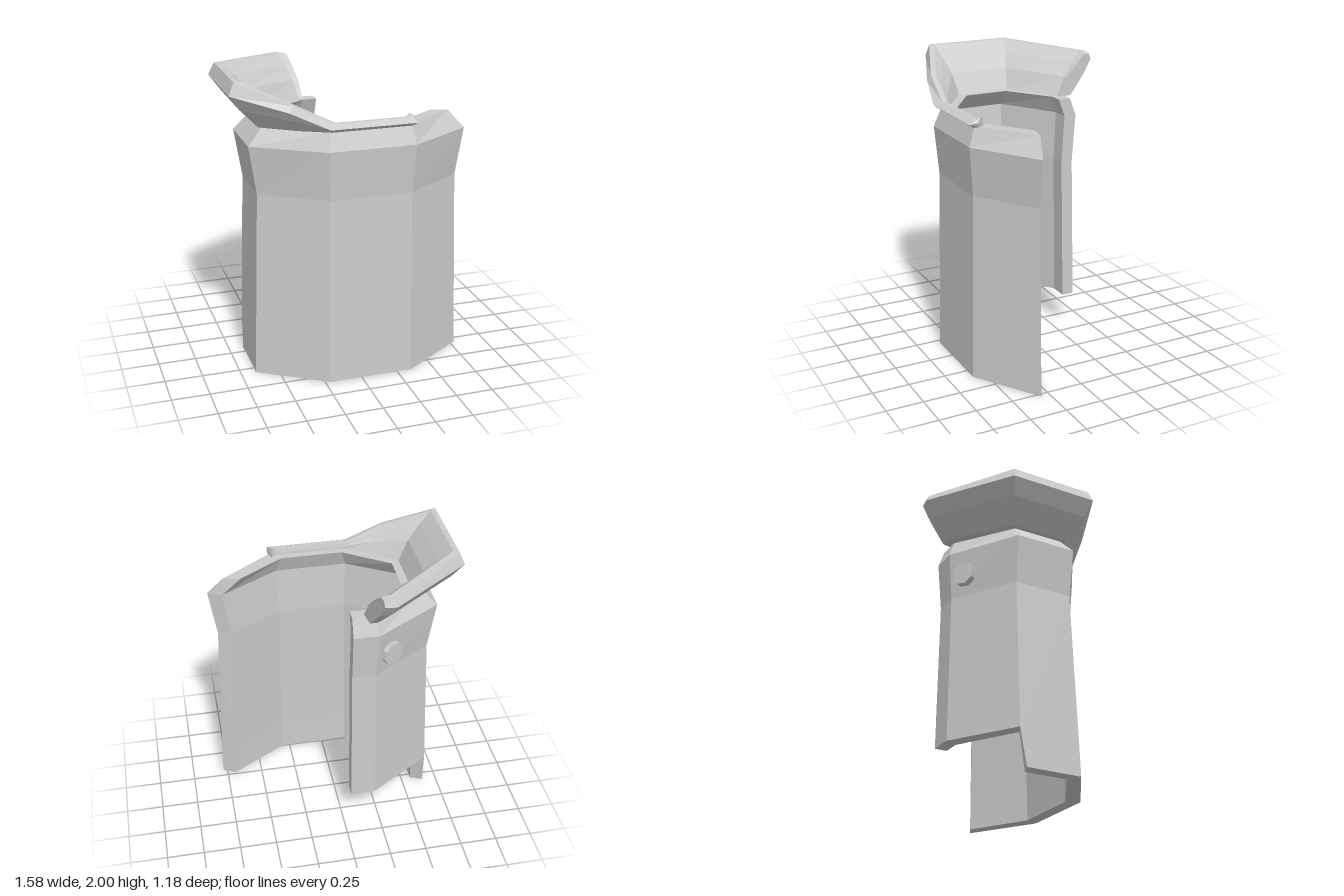
import * as THREE from 'three';

const material = new THREE.MeshStandardMaterial({ color: 0xcccccc, flatShading: true });

// Joins closed cross-sections (outer side going up, inner side going down) and caps both ends.
function loft(name, sections) {
  const pos = [];
  const n = sections[0].length;
  const quad = (a, b, c, d) => pos.push(...a, ...b, ...c, ...a, ...c, ...d);
  for (let i = 0; i < sections.length - 1; i++) {
    const s = sections[i], t = sections[i + 1];
    for (let j = 0; j < n; j++) {
      const k = (j + 1) % n;
      quad(s[j], t[j], t[k], s[k]);
    }
  }
  const s = sections[0], e = sections[sections.length - 1];
  for (let j = 0; j < n / 2 - 1; j++) {
    quad(s[j], s[j + 1], s[n - 2 - j], s[n - 1 - j]);
    quad(e[n - 1 - j], e[n - 2 - j], e[j + 1], e[j]);
  }
  const g = new THREE.BufferGeometry();
  g.setAttribute('position', new THREE.Float32BufferAttribute(pos, 3));
  g.computeVertexNormals();
  const mesh = new THREE.Mesh(g, material);
  mesh.name = name;
  return mesh;
}

// Open eight-sided plan at one height, from the back end round the right side to the front flap.
function ring(y, hx, hz, cx, dz) {
  return [
    [-0.115, -hz], [-cx, -hz], [-hx, -dz], [-hx, dz], [-cx, hz], [cx, hz], [hx, dz],
  ].map(([x, z]) => [x + 0.065, y, z + 0.1]);
}

const lerp = THREE.MathUtils.lerp;

// Collar section from inner foot, inner top, top edge, outer edge and outer foot.
function collarSection([ax, az, cx, cz, dx, dz, ex, ez, fx, fz, top, edge]) {
  const foot = 1.685;
  const between = (x0, z0, x1, z1, t, h, yTop) =>
    [lerp(x0, x1, t), lerp(foot, yTop, h), lerp(z0, z1, t)];
  return [
    [fx, foot, fz],
    between(fx, fz, ex, ez, 0.65, 0.58, edge),
    [ex, edge, ez],
    [dx, top, dz],
    [cx, top, cz],
    between(ax, az, cx, cz, 0.65, 0.75, top),
    between(ax, az, cx, cz, 0.3, 0.45, top),
    [ax, foot, az],
  ];
}

export function createModel() {
  const model = new THREE.Group();
  model.name = 'wraparoundShell';

  // Wall: waisted body with a bevelled rim
  const rings = [
    ring(0, 0.715, 0.49, 0.28, 0.21),
    ring(0.25, 0.708, 0.483, 0.278, 0.208),
    ring(1.25, 0.675, 0.46, 0.27, 0.2),
    ring(1.57, 0.725, 0.485, 0.285, 0.21),
    ring(1.69, 0.62, 0.44, 0.26, 0.175),
    ring(1.69, 0.505, 0.355, 0.205, 0.15),
    ring(1.57, 0.63, 0.4, 0.24, 0.165),
    ring(1.25, 0.59, 0.38, 0.23, 0.165),
    ring(0.25, 0.625, 0.4, 0.24, 0.165),
    ring(0, 0.63, 0.4, 0.24, 0.165),
  ];
  const stations = rings[0].map((_, i) => rings.map((r) => r[i].slice()));

  // Back panel stops above the base
  model.add(loft('backWall', stations.slice(0, 3).map((s) => s.slice(1, -1))));

  // Main wall, its lower back edge slanting forward
  const main = stations.slice(2);
  main[0][0][2] += 0.04;
  main[0][9][2] += 0.03;
  model.add(loft('mainWall', main));

  // Flared collar, high at the side and back, sinking to a lip at the front
  model.add(loft('collar', [
    [-0.13, -0.3, -0.18, -0.52, -0.19, -0.565, -0.195, -0.58, -0.15, -0.4, 1.95, 1.91],
    [-0.16, -0.3, -0.24, -0.52, -0.255, -0.565, -0.27, -0.588, -0.2, -0.4, 1.96, 1.91],
    [-0.49, -0.08, -0.72, -0.17, -0.755, -0.19, -0.79, -0.21, -0.59, -0.11, 2, 1.92],
    [-0.49, 0.28, -0.72, 0.36, -0.755, 0.385, -0.79, 0.4, -0.59, 0.3, 2, 1.92],
    [-0.32, 0.4, -0.41, 0.48, -0.43, 0.51, -0.45, 0.53, -0.38, 0.45, 1.86, 1.82],
    [-0.15, 0.5, -0.16, 0.51, -0.17, 0.54, -0.21, 0.585, -0.19, 0.55, 1.735, 1.71],
    [0.3, 0.5, 0.3, 0.51, 0.31, 0.54, 0.35, 0.585, 0.33, 0.55, 1.735, 1.71],
    [0.33, 0.48, 0.33, 0.485, 0.345, 0.505, 0.36, 0.53, 0.35, 0.52, 1.75, 1.72],
  ].map(collarSection)));

  // Round stud on the slanted back panel
  const stud = new THREE.Mesh(new THREE.CylinderGeometry(0.08, 0.08, 0.1, 8), material);
  stud.name = 'stud';
  const out = new THREE.Vector3(-0.51, 0, -0.86).normalize();
  stud.quaternion.setFromUnitVectors(new THREE.Vector3(0, 1, 0), out);
  stud.position.set(-0.3, 1.39, -0.3);
  model.add(stud);

  return model;
}
